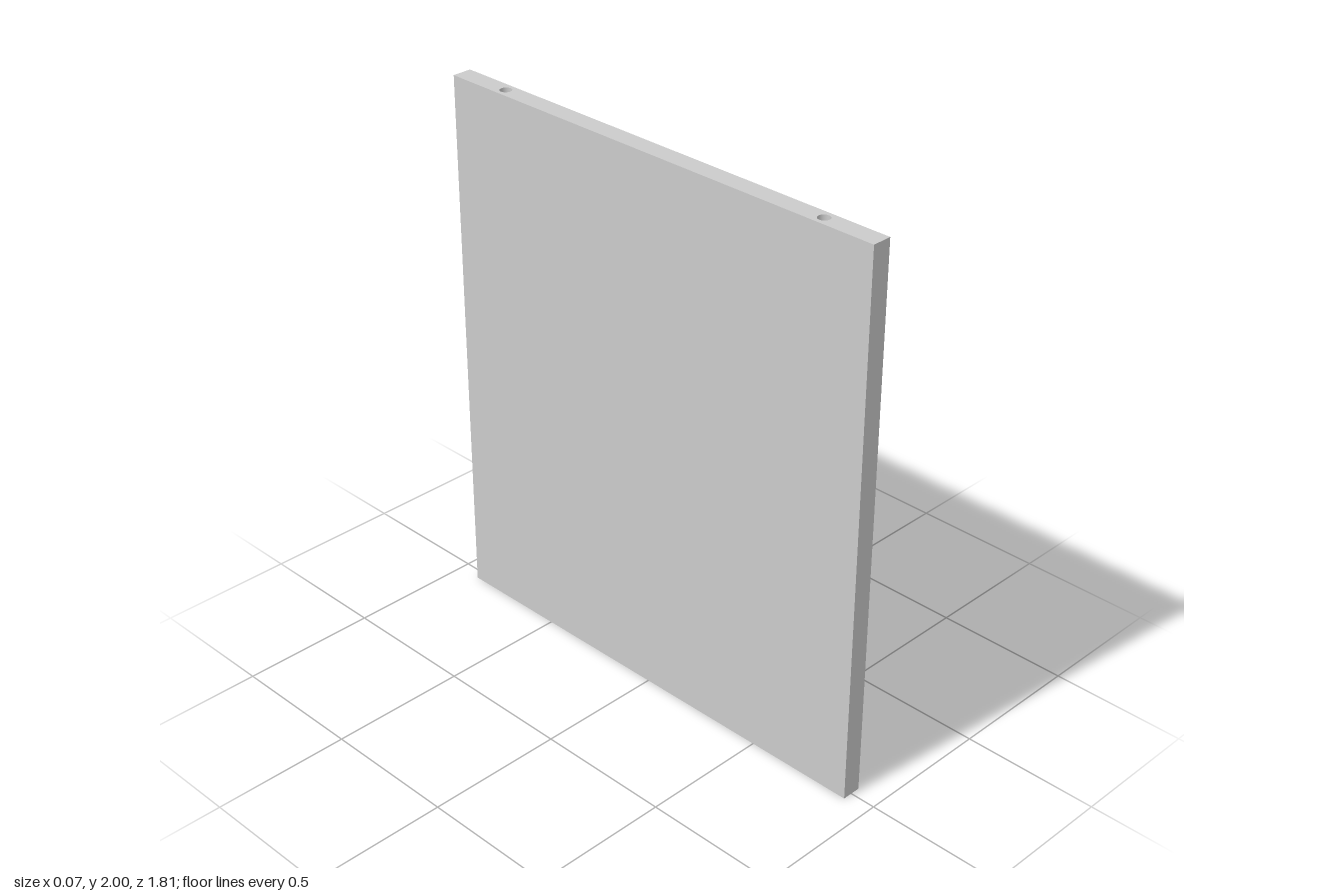
import * as THREE from 'three';
import { mergeGeometries } from 'three/addons/utils/BufferGeometryUtils.js';

const H = 2, W = 1.81, T = 0.071;      // height, depth (z), thickness (x)
const SEG = 32;
const CAM_Y = 1.84, CAM_Z = 0.687, CAM_R = 0.039, CAM_FLOOR = -0.024;
const BOLT_R = 0.021;
const PILOT_R = 0.011, PILOT_Z = 0.722, PILOT_YS = [0.39, 0.54, 1.46, 1.61];
const DOWEL_R = 0.012;

const grey = new THREE.MeshStandardMaterial({ color: 0xcccccc });
const inner = new THREE.MeshStandardMaterial({ color: 0xcccccc, side: THREE.DoubleSide });

// Flat rectangle centred on the origin with round holes [u, v, r]
function face(w, h, holes = []) {
  const s = new THREE.Shape();
  s.moveTo(-w / 2, -h / 2).lineTo(w / 2, -h / 2).lineTo(w / 2, h / 2).lineTo(-w / 2, h / 2);
  for (const [u, v, r] of holes) s.holes.push(new THREE.Path().absarc(u, v, r, 0, Math.PI * 2, true));
  return new THREE.ShapeGeometry(s, SEG);
}

// Blind bore along y, open at y = 0
function blindBore(r, depth) {
  return mergeGeometries([
    new THREE.CylinderGeometry(r, r, depth, SEG, 1, true).translate(0, -depth / 2, 0),
    new THREE.CircleGeometry(r, SEG).rotateX(-Math.PI / 2).translate(0, -depth, 0),
  ]);
}

// Large pocket along x whose upper wall is pierced by the bolt bore
function camPocket() {
  const depth = T / 2 - CAM_FLOOR, mid = (T / 2 + CAM_FLOOR) / 2;
  const half = 0.026, a = Math.asin(half / CAM_R);
  const wall = new THREE.CylinderGeometry(CAM_R, CAM_R, depth, SEG, 1, true, Math.PI * 1.5 + a, Math.PI * 2 - 2 * a)
    .rotateZ(-Math.PI / 2).translate(mid, 0, 0);
  const patch = face(depth, half * 2, [[-mid, 0, BOLT_R]]).rotateX(-Math.PI / 2).translate(mid, 0, 0);
  onPocket(patch, () => true);
  const floor = new THREE.CircleGeometry(CAM_R, SEG).rotateY(Math.PI / 2).translate(CAM_FLOOR, 0, 0);
  return mergeGeometries([wall, patch, floor]);
}

// Lift chosen vertices onto the pocket's upper wall
function onPocket(geo, test) {
  const p = geo.attributes.position;
  for (let i = 0; i < p.count; i++) {
    if (test(p.getY(i))) p.setY(i, Math.sqrt(CAM_R ** 2 - p.getZ(i) ** 2));
  }
  geo.computeVertexNormals();
}

// Bolt bore from the top edge down into the pocket
function boltBore() {
  const length = H - CAM_Y;
  const geo = new THREE.CylinderGeometry(BOLT_R, BOLT_R, length, SEG, 1, true).translate(0, length / 2, 0);
  onPocket(geo, y => y < 0.001);
  return geo;
}

export function createModel() {
  const model = new THREE.Group();
  const add = (name, geo, mat, x = 0, y = 0, z = 0) => {
    const m = new THREE.Mesh(geo, mat);
    m.name = name;
    m.position.set(x, y, z);
    model.add(m);
  };

  // Panel: six faces, drilled on the left side, top and bottom
  const sideHoles = [-1, 1].map(s => [s * CAM_Z, CAM_Y - H / 2, CAM_R]);
  for (const y of PILOT_YS) sideHoles.push([-PILOT_Z, y - H / 2, PILOT_R]);
  const edgeHoles = r => [-1, 1].map(s => [0, s * CAM_Z, r]);
  add('panel', mergeGeometries([
    face(W, H, sideHoles).rotateY(Math.PI / 2).translate(T / 2, 0, 0),
    face(W, H).rotateY(-Math.PI / 2).translate(-T / 2, 0, 0),
    face(T, H).translate(0, 0, W / 2),
    face(T, H).rotateY(Math.PI).translate(0, 0, -W / 2),
    face(T, W, edgeHoles(BOLT_R)).rotateX(-Math.PI / 2).translate(0, H / 2, 0),
    face(T, W, edgeHoles(DOWEL_R)).rotateX(Math.PI / 2).translate(0, -H / 2, 0),
  ]), grey, 0, H / 2, 0);

  // Connector pockets, bolt bores and bottom dowel holes, front and back
  for (const z of [-CAM_Z, CAM_Z]) {
    add('connectorPocket', camPocket(), inner, 0, CAM_Y, z);
    add('boltBore', boltBore(), inner, 0, CAM_Y, z);
    add('dowelHole', blindBore(DOWEL_R, 0.05).rotateX(Math.PI), inner, 0, 0, z);
  }

  // Pilot holes in two pairs near the front edge
  for (const y of PILOT_YS) {
    add('pilotHole', blindBore(PILOT_R, 0.045).rotateZ(-Math.PI / 2), inner, T / 2, y, PILOT_Z);
  }
  return model;
}
